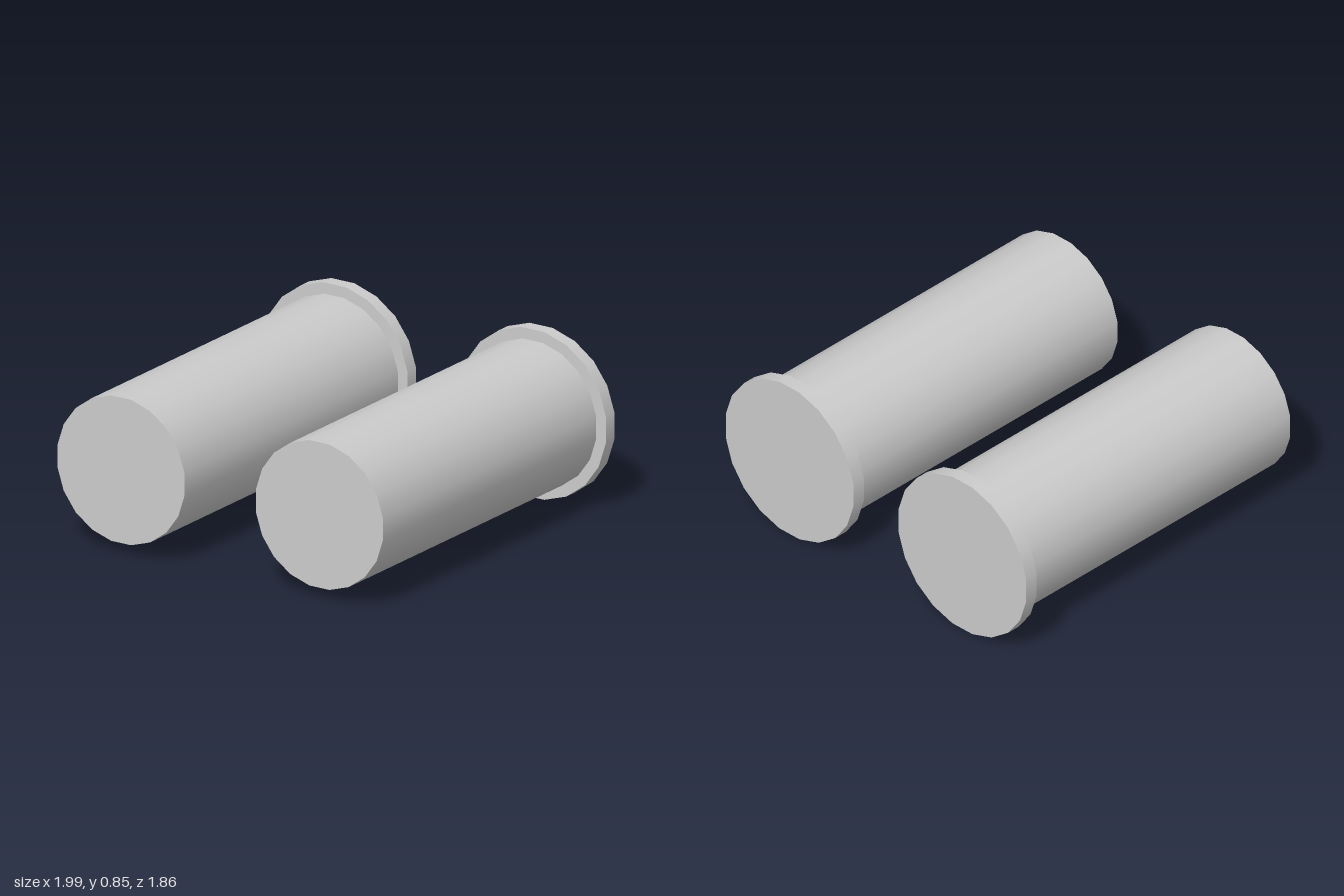
import * as THREE from 'three';

const SIDES = 20;
const CENTRE_X = 0.573;
const CENTRE_Y = 0.428;

// Smooth cylinder lying along z between two depths
function rod(name, radius, zBack, zFront, material) {
  const geometry = new THREE.CylinderGeometry(radius, radius, zFront - zBack, SIDES);
  geometry.rotateY(Math.PI / SIDES);
  geometry.rotateX(Math.PI / 2);
  const mesh = new THREE.Mesh(geometry, material);
  mesh.name = name;
  mesh.position.z = (zBack + zFront) / 2;
  return mesh;
}

export function createModel() {
  const model = new THREE.Group();
  model.name = 'flangedPins';
  const grey = new THREE.MeshStandardMaterial({ color: 0xcccccc });

  // Two matching pins, each a long shaft with a wider head at the back
  for (const [name, side] of [['leftPin', 1], ['rightPin', -1]]) {
    const pin = new THREE.Group();
    pin.name = name;
    pin.add(rod('shaft', 0.371, -0.86, 0.932, grey));
    pin.add(rod('head', 0.428, -0.932, -0.86, grey));
    pin.position.set(side * CENTRE_X, CENTRE_Y, 0);
    model.add(pin);
  }
  return model;
}
